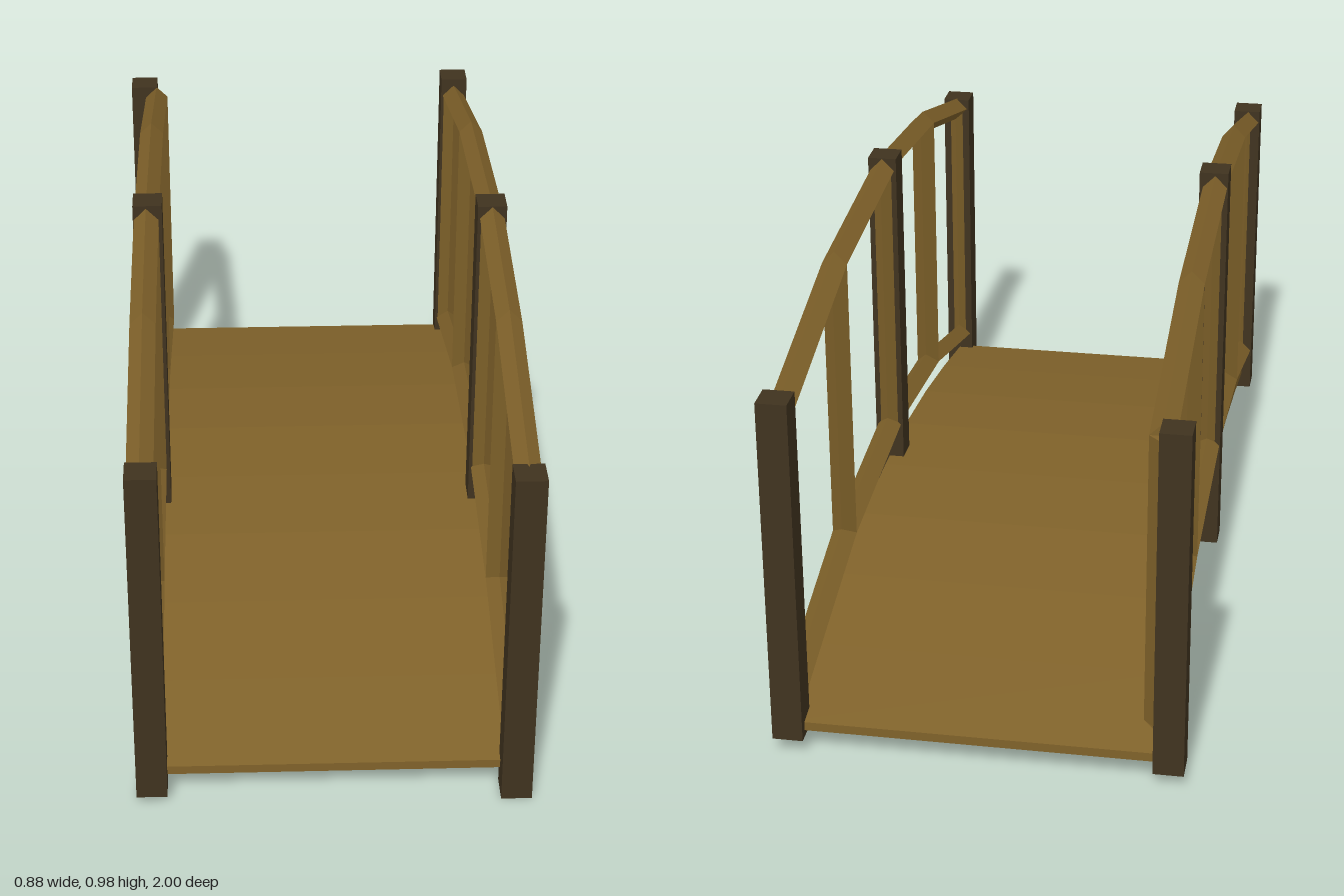
import * as THREE from 'three';

const wood = new THREE.MeshStandardMaterial({ color: 0x80622a, flatShading: true });
const darkWood = new THREE.MeshStandardMaterial({ color: 0x40331f, flatShading: true });
const R = 0.028; // half diagonal of the diamond-section bars

function add(parent, name, geometry, material) {
  const mesh = new THREE.Mesh(geometry, material);
  mesh.name = name;
  parent.add(mesh);
  return mesh;
}

// Arched deck: side profile extruded across the width
function deckGeometry(x0, x1) {
  const rise = [0.07, 0.118, 0.157, 0.183, 0.19, 0.183, 0.157, 0.118, 0.07];
  const top = rise.map((y, i) => new THREE.Vector2(-0.98 + (1.935 * i) / 8, y));
  const bottom = top.map((p) => new THREE.Vector2(p.x, p.y - 0.02)).reverse();
  const geo = new THREE.ExtrudeGeometry(new THREE.Shape([...top, ...bottom]), {
    depth: x1 - x0, bevelEnabled: false,
  });
  geo.rotateY(-Math.PI / 2); // profile x -> z, depth -> -x
  geo.translate(x1, 0, 0);
  return geo;
}

// Diamond bar bent through [z, y] points running from back to front
function railGeometry(x, points) {
  const n = points.length - 1;
  const geo = new THREE.CylinderGeometry(R, R, 1, 4, n);
  geo.rotateX(Math.PI / 2);
  const pos = geo.attributes.position;
  for (let i = 0; i < pos.count; i++) {
    const [z, y] = points[Math.round((pos.getZ(i) + 0.5) * n)];
    pos.setXYZ(i, pos.getX(i) + x, pos.getY(i) + y, z);
  }
  geo.computeVertexNormals();
  return geo;
}

// Railing panel: lower and upper bent rails joined by three balusters
function panel(name, x, zs, lower, upper) {
  const group = new THREE.Group();
  group.name = name;
  add(group, 'lowerRail', railGeometry(x, zs.map((z, i) => [z, lower[i]])), wood);
  add(group, 'handrail', railGeometry(x, zs.map((z, i) => [z, upper[i]])), wood);
  zs.forEach((z, i) => {
    const h = upper[i] - lower[i];
    add(group, 'baluster', new THREE.CylinderGeometry(R, R, h, 4), wood)
      .position.set(x, lower[i] + h / 2, z);
  });
  return group;
}

export function createModel() {
  const bridge = new THREE.Group();
  bridge.name = 'footbridge';
  add(bridge, 'deck', deckGeometry(-0.385, 0.405), wood);

  // Posts: x, z, bottom, top (slightly uneven)
  const posts = [
    [0.404, -0.967, 0.035, 0.83], [0.403, 0.07, 0, 0.968], [0.403, 0.966, 0, 0.802],
    [-0.41, -0.957, 0.026, 0.823], [-0.376, 0.066, 0.017, 0.98], [-0.376, 0.957, 0.017, 0.816],
  ];
  for (const [x, z, y0, y1] of posts) {
    add(bridge, 'post', new THREE.BoxGeometry(0.066, y1 - y0, 0.066), darkWood)
      .position.set(x, (y0 + y1) / 2, z);
  }

  // Two railing panels on each side
  for (const [side, x, dy] of [['left', 0.403, -0.004], ['right', -0.379, 0.003]]) {
    const up = (ys) => ys.map((y) => y + dy);
    bridge.add(
      panel(side + 'BackRailing', x, [-0.937, -0.445, 0.044], up([0.12, 0.242, 0.28]), up([0.788, 0.907, 0.943])),
      panel(side + 'FrontRailing', x, [0.1, 0.502, 0.945], up([0.28, 0.235, 0.118]), up([0.943, 0.896, 0.778])),
    );
  }
  // Front panels are listed back to front, matching the bar direction
  return bridge;
}
